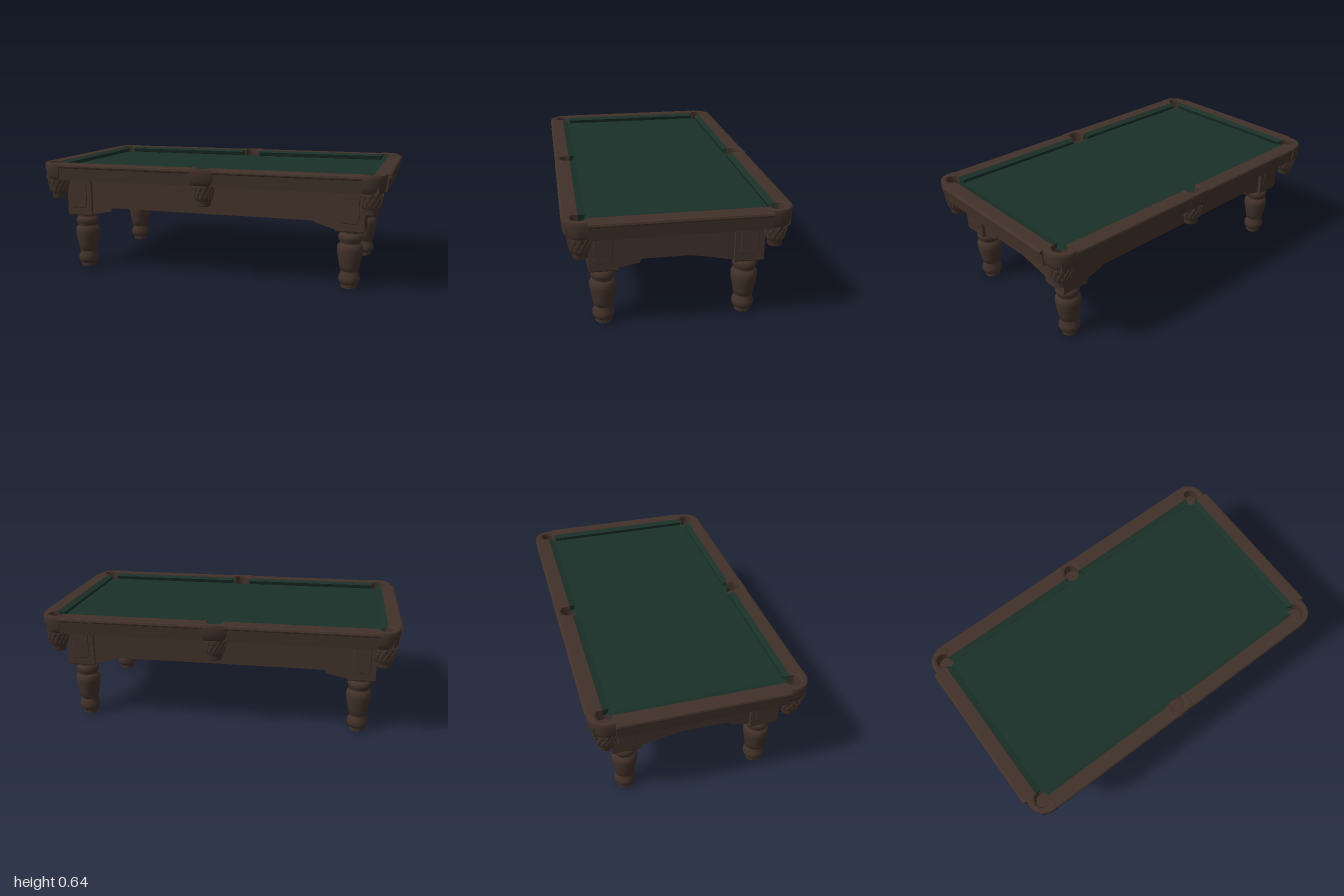
import * as THREE from 'three';
import { toCreasedNormals } from 'three/addons/utils/BufferGeometryUtils.js';

export function createModel() {
  const root = new THREE.Group();
  root.name = 'poolTable';
  const make = (name, hex) => {
    const m = new THREE.MeshStandardMaterial({ color: hex });
    m.name = name;
    return m;
  };
  const wood = make('darkWood', 0x413129);
  const felt = make('greenFelt', 0x1a3028);

  const add = (name, geo, mat, parent = root) => {
    const m = new THREE.Mesh(geo, mat);
    m.name = name;
    parent.add(m);
    return m;
  };
  const shapeOf = (pts) => new THREE.Shape(pts.map(([x, y]) => new THREE.Vector2(x, y)));
  const arc = (cx, cy, r, a0, a1, n = 14) => Array.from({ length: n + 1 }, (_, i) => {
    const a = a0 + (a1 - a0) * i / n;
    return [cx + r * Math.cos(a), cy + r * Math.sin(a)];
  });
  // Plan outline (x, z) extruded between two heights
  const slab = (shape, y0, y1, bevel = 0, steps = 1) => {
    const g = new THREE.ExtrudeGeometry(shape, {
      depth: y1 - y0 - 2 * bevel, steps, bevelEnabled: bevel > 0, bevelSize: bevel,
      bevelThickness: bevel, bevelOffset: -bevel, bevelSegments: 2,
    });
    return g.rotateX(Math.PI / 2).translate(0, y1 - bevel, 0);
  };
  // Upright outline (u, y) extruded along z, centred
  const bar = (pts, len, centre = 0) => new THREE.ExtrudeGeometry(shapeOf(pts),
    { depth: len, bevelEnabled: false }).translate(0, 0, centre - len / 2);

  const corners = [[1, 1], [1, -1], [-1, -1], [-1, 1]];
  const pockets = [...corners.map(([a, b]) => [a * 0.905, b * 0.49]), [0, 0.505], [0, -0.51]];
  const rect = (x, z) => [[-x, -z], [x, -z], [x, z], [-x, z]];
  const holed = (x, z) => {
    const s = shapeOf(rect(x, z));
    pockets.forEach(([px, pz]) => s.holes.push(shapeOf(arc(px, pz, 0.041, 0, Math.PI * 2, 24).slice(0, -1))));
    return s;
  };

  // Felt bed and the wooden frame under it
  add('feltBed', slab(holed(0.948, 0.554), 0.58, 0.602), felt);
  const under = holed(0.947, 0.553);
  under.holes.push(shapeOf(rect(0.82, 0.415)));
  add('bedFrame', slab(under, 0.546, 0.58), wood);

  // Rails and cushions: one angle per side, with segments along it
  const longSegs = [[-0.46, 0.82], [0.46, 0.82]];
  const sides = [
    { angle: 0, out: 1, base: 0.917, segs: [[0, 0.9]] },
    { angle: Math.PI, out: 1, base: 0.917, segs: [[0, 0.9]] },
    { angle: Math.PI / 2, out: 0.58, base: 0.492, segs: longSegs },
    { angle: -Math.PI / 2, out: 0.576, base: 0.492, segs: longSegs },
  ];
  for (const { angle, out, base, segs } of sides) {
    const g = new THREE.Group();
    g.name = 'railSide';
    g.rotation.y = angle;
    root.add(g);
    for (const [c, len] of segs) {
      add('rail', bar([[base, 0.545], [out - 0.02, 0.545], [out - 0.012, 0.613], [out - 0.002, 0.618],
        [out, 0.624], [out - 0.003, 0.634], [out - 0.012, 0.638], [base, 0.638]], len, c), wood, g);
      const nose = bar([[base, 0.601], [base - 0.026, 0.606], [base - 0.035, 0.628], [base, 0.637]], len, c);
      // Trim the cushion ends where they meet the pockets
      const p = nose.attributes.position;
      for (let i = 0; i < p.count; i++) {
        p.setZ(i, p.getZ(i) - Math.sign(p.getZ(i) - c) * (base - p.getX(i)) * 0.35);
      }
      nose.computeVertexNormals();
      add('cushion', nose, felt, g);
    }
  }

  // Rounded pocket castings, drawn in towards the cup at the bottom
  const casting = (name, pts, [px, pz], taper) => {
    const g = slab(shapeOf(pts), 0.545, 0.641, 0.009, 5);
    const p = g.attributes.position;
    for (let i = 0; i < p.count; i++) {
      const t = (0.641 - p.getY(i)) / 0.096;
      const k = 1 - taper * t * t * t;
      p.setX(i, px + (p.getX(i) - px) * k);
      p.setZ(i, pz + (p.getZ(i) - pz) * k);
    }
    add(name, toCreasedNormals(g, 0.7), wood);
  };
  for (const [sx, sz] of corners) {
    const pts = [[0.858, 0.488], [0.858, 0.574], ...arc(0.884, 0.479, 0.096, Math.PI / 2, 0), [0.98, 0.446],
      ...arc(0.905, 0.49, 0.041, -Math.PI / 2, Math.PI, 22)];
    casting('cornerCasting', pts.map(([x, z]) => [x * sx, z * sz]), [sx * 0.905, sz * 0.49], 0.15);
  }
  for (const [s, zc] of [[1, 0.505], [-1, 0.51]]) {
    const pts = [[-0.074, -0.02], [-0.074, 0.06], [-0.054, 0.07], [0.054, 0.07], [0.074, 0.06], [0.074, -0.02],
      [0.041, -0.02], ...arc(0, 0, 0.041, 0, Math.PI), [-0.041, -0.02]];
    casting('middleCasting', pts.map(([x, z]) => [x, (z + zc) * s]), [0, s * zc], 0.25);
  }

  // Carved pocket cups with overlapping leaves above a plain collar
  const lathe = (pts, n) => toCreasedNormals(
    new THREE.LatheGeometry(pts.map(([r, y]) => new THREE.Vector2(r, y)), n), 0.7);
  const cup = lathe([[0, 0.428], [0.034, 0.428], [0.038, 0.433], [0.038, 0.453], [0.042, 0.46],
    [0.051, 0.482], [0.057, 0.512], [0.057, 0.548], [0.041, 0.55], [0.041, 0.601],
    [0.039, 0.601], [0.039, 0.575], [0, 0.575]], 24);
  const leaf = new THREE.SphereGeometry(1, 6, 5).scale(0.011, 0.02, 0.005);
  for (const [x, z] of pockets) {
    const g = new THREE.Group();
    g.name = 'pocketCup';
    g.position.set(x, 0, z);
    root.add(g);
    add('cup', cup, wood, g);
    [[0.526, 0.057, 0], [0.503, 0.054, 0.5], [0.481, 0.049, 0]].forEach(([y, r, off]) => {
      for (let i = 0; i < 12; i++) {
        const a = (i + off) / 12 * Math.PI * 2;
        const l = add('leaf', leaf, wood, g);
        l.position.set(Math.sin(a) * r, y, Math.cos(a) * r);
        l.rotation.set(0.25, a, 0, 'YXZ');
      }
    });
  }

  // Aprons with a stepped bracket at one end and a sloping one at the other
  const longPts = [[-0.76, 0.547], [-0.76, 0.325], [-0.71, 0.328], [-0.6, 0.35], [-0.595, 0.37],
    [0.595, 0.37], [0.61, 0.358], [0.71, 0.33], [0.76, 0.325], [0.76, 0.547]];
  const endPts = [[-0.35, 0.547], [-0.35, 0.33], [-0.28, 0.332], [-0.19, 0.35], [-0.18, 0.37],
    [0.07, 0.37], [0.18, 0.352], [0.27, 0.332], [0.35, 0.332], [0.35, 0.547]];
  for (const s of [1, -1]) {
    add('longApron', bar(longPts, 0.025, s * 0.422), wood);
    add('endApron', bar(endPts, 0.025, s * 0.84), wood).rotation.y = Math.PI / 2;
  }

  // Leg blocks with a diagonal inner face, raised panels and turned legs
  const legGeo = lathe([[0, 0], [0.043, 0], [0.044, 0.02], [0.054, 0.03], [0.059, 0.045],
    [0.057, 0.065], [0.047, 0.084], [0.046, 0.094], [0.052, 0.1], [0.056, 0.13], [0.065, 0.17],
    [0.07, 0.205], [0.07, 0.228], [0.063, 0.241], [0.055, 0.248], [0.055, 0.256], [0.063, 0.268],
    [0.066, 0.285], [0.059, 0.298], [0.05, 0.306], [0.052, 0.322], [0, 0.322]], 28);
  const panelShape = shapeOf([[-0.045, -0.07], [-0.035, -0.082], [0.035, -0.082], [0.045, -0.07],
    [0.045, 0.07], [0.035, 0.082], [-0.035, 0.082], [-0.045, 0.07]]);
  const panelGeo = new THREE.ExtrudeGeometry(panelShape,
    { depth: 0.001, bevelSize: 0.003, bevelThickness: 0.003, bevelSegments: 1 });
  for (const [sx, sz] of corners) {
    const plan = [[0.718, 0.453], [0.871, 0.453], [0.871, 0.298], [0.82, 0.298], [0.718, 0.4]];
    add('legBlock', slab(shapeOf(plan.map(([x, z]) => [x * sx, z * sz])), 0.319, 0.552, 0.008), wood);
    add('leg', legGeo, wood).position.set(sx * 0.79, 0, sz * 0.375);
    const front = add('blockPanel', panelGeo, wood);
    front.position.set(sx * 0.795, 0.45, sz * 0.452);
    front.rotation.y = sz > 0 ? 0 : Math.PI;
    const side = add('blockPanel', panelGeo, wood);
    side.position.set(sx * 0.87, 0.45, sz * 0.375);
    side.rotation.y = sx * Math.PI / 2;
  }
  return root;
}
